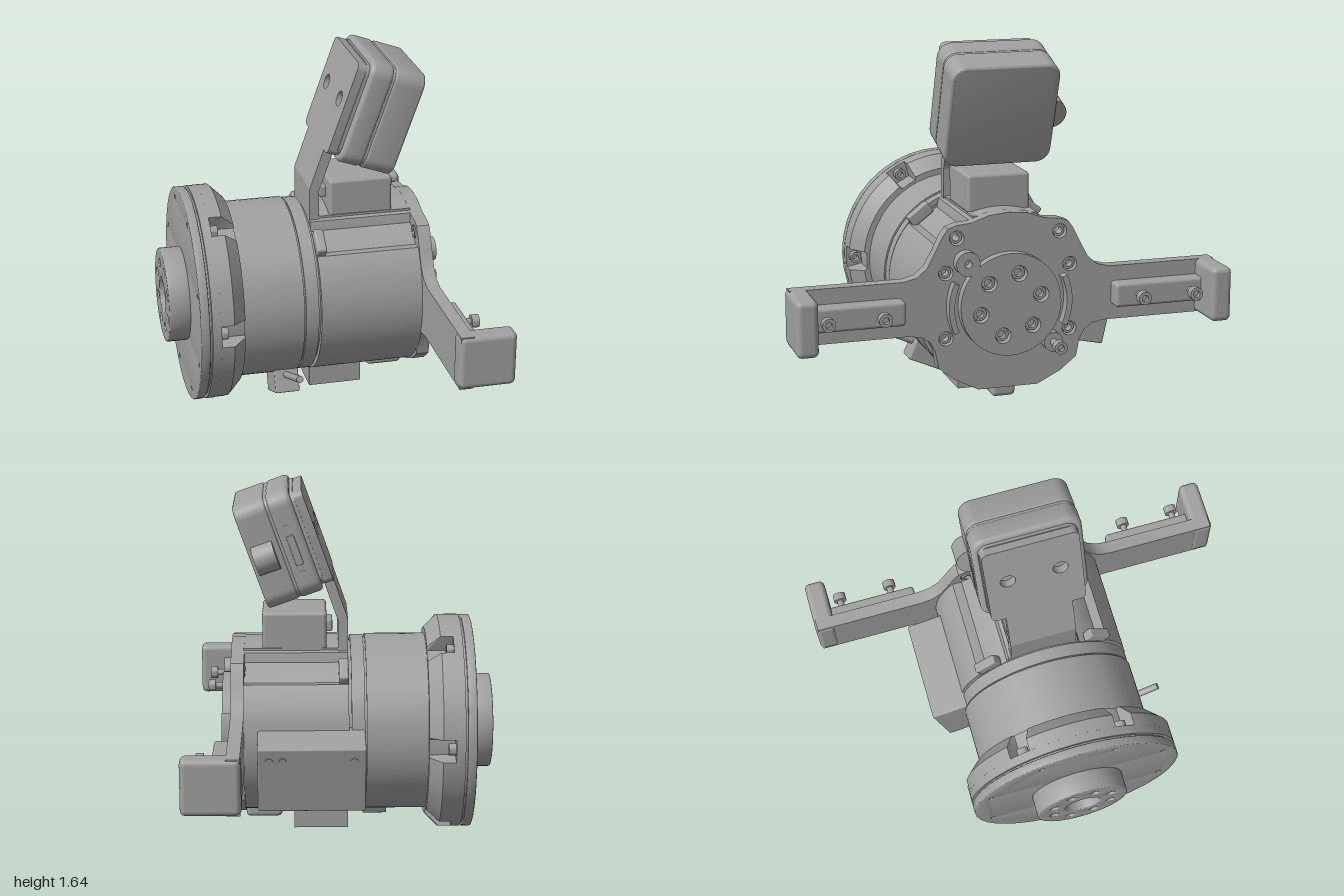
import * as THREE from 'three';
import { toCreasedNormals } from 'three/addons/utils/BufferGeometryUtils.js';
import { RoundedBoxGeometry } from 'three/addons/geometries/RoundedBoxGeometry.js';

const grey = new THREE.MeshStandardMaterial({ color: 0xa0a0a0 });
grey.name = 'machined grey';
const AXIS = 0.5; // height of the main axis, which runs along x

function add(parent, name, geo, x = 0, y = 0, z = 0) {
  const mesh = new THREE.Mesh(geo, grey);
  mesh.name = name;
  mesh.position.set(x, y, z);
  parent.add(mesh);
  return mesh;
}

// Turned part along x from [x, radius] pairs
function turned(points, segments = 72) {
  const geo = new THREE.LatheGeometry(points.map(([x, r]) => new THREE.Vector2(r, x)), segments);
  return toCreasedNormals(geo.rotateZ(-Math.PI / 2), 0.5);
}

function rod(x0, x1, r, segments = 20) {
  return turned([[x0, 0], [x0, r], [x1, r], [x1, 0]], segments);
}

// Shape drawn in (-z, y), extruded from x0 to x1
function plate(shape, x0, x1, bevel = 0, steps = 1) {
  const geo = new THREE.ExtrudeGeometry(shape, {
    depth: x1 - x0 - 2 * bevel, steps, curveSegments: 20, bevelEnabled: bevel > 0,
    bevelSize: bevel, bevelThickness: bevel, bevelOffset: -bevel, bevelSegments: 4,
  });
  geo.translate(0, 0, x0 + bevel).rotateY(Math.PI / 2);
  return toCreasedNormals(geo, 0.55);
}

function hole(shape, x, y, r) {
  shape.holes.push(new THREE.Path().absarc(x, y, r, 0, Math.PI * 2, true));
}

function disc(r) {
  return new THREE.Shape().absarc(0, 0, r, 0, Math.PI * 2);
}

function roundedRect(x0, y0, w, h, r) {
  const s = new THREE.Shape();
  s.absarc(x0 + w - r, y0 + r, r, -Math.PI / 2, 0);
  s.absarc(x0 + w - r, y0 + h - r, r, 0, Math.PI / 2);
  s.absarc(x0 + r, y0 + h - r, r, Math.PI / 2, Math.PI);
  s.absarc(x0 + r, y0 + r, r, Math.PI, Math.PI * 1.5);
  s.closePath();
  return s;
}

function polarShape(radius, n = 360) {
  const pts = [];
  for (let i = 0; i < n; i++) {
    const a = (i / n) * Math.PI * 2, r = radius(a * 180 / Math.PI);
    pts.push(new THREE.Vector2(Math.cos(a) * r, Math.sin(a) * r));
  }
  return new THREE.Shape(pts);
}

function capScrew(parent, x0, x1, y, z) {
  const socket = disc(0.03);
  hole(socket, 0, 0, 0.015);
  add(parent, 'screwHead', plate(socket, x1 - 0.035, x1), 0, y, z);
  add(parent, 'screwShank', rod(x0, x1 - 0.02, 0.016), 0, y, z);
}

function buildDrum(g) {
  // Rear hub with bore and bolt circle
  const hub = disc(0.22);
  hole(hub, 0, 0, 0.085);
  for (let i = 0; i < 8; i++) {
    const a = (i + 0.5) * Math.PI / 4;
    hole(hub, Math.cos(a) * 0.15, Math.sin(a) * 0.15, 0.02);
  }
  add(g, 'rearHub', plate(hub, -0.7, -0.6, 0.006), 0, AXIS);

  // Wide flange: a disc with small holes, then a chamfered rim with six notches
  const rear = disc(0.5);
  for (let i = 0; i < 8; i++) {
    const a = (i + 0.5) * Math.PI / 4;
    hole(rear, Math.cos(a) * 0.45, Math.sin(a) * 0.45, 0.011);
  }
  add(g, 'rearFlange', plate(rear, -0.602, -0.56, 0.005), 0, AXIS);
  add(g, 'flangeCore', turned([[-0.585, 0], [-0.585, 0.42], [-0.56, 0.42], [-0.56, 0.485],
    [-0.55, 0.485], [-0.55, 0.5], [-0.508, 0.5], [-0.508, 0]]), 0, AXIS);
  const notched = (deg) => (Math.abs(((deg + 30) % 60) - 30) <= 5.5 ? 0.425 : 0.5);
  const rim = new THREE.ExtrudeGeometry(polarShape(notched), { depth: 0.12, steps: 2, bevelEnabled: false });
  const p = rim.attributes.position;
  for (let i = 0; i < p.count; i++) {
    const r = Math.hypot(p.getX(i), p.getY(i));
    if (p.getZ(i) > 0.1 && r > 0.46) p.setXY(i, p.getX(i) * 0.44 / r, p.getY(i) * 0.44 / r);
  }
  rim.translate(0, 0, -0.51).rotateY(Math.PI / 2);
  add(g, 'notchedRim', toCreasedNormals(rim, 0.5), 0, AXIS);
  for (let i = 0; i < 6; i++) {
    const a = i * Math.PI / 3;
    const head = disc(0.027);
    hole(head, 0, 0, 0.014);
    add(g, 'rimScrew', plate(head, -0.51, -0.475), 0, AXIS + Math.sin(a) * 0.46, Math.cos(a) * 0.46);
  }

  // Collar and seam ring
  add(g, 'collar', turned([[-0.4, 0], [-0.4, 0.412], [-0.11, 0.412], [-0.11, 0.398], [-0.102, 0.398],
    [-0.102, 0.407], [-0.042, 0.407], [-0.042, 0.385], [-0.03, 0.385], [-0.03, 0]]), 0, AXIS);

  // Main body with a shallow channel on either side of the top
  const scalloped = (deg) => {
    const t = Math.abs(Math.abs(deg - 90) - 37);
    return t < 13 ? 0.41 - 0.035 * Math.min(1, (13 - t) / 4) : 0.41;
  };
  add(g, 'mainBody', plate(polarShape(scalloped, 180), -0.03, 0.45), 0, AXIS);
  for (const side of [-1, 1]) {
    add(g, 'channelLug', new RoundedBoxGeometry(0.045, 0.06, 0.12, 2, 0.01), -0.008, 0.81, side * 0.265)
      .rotation.x = side * 0.65;
  }
}

function buildFrontPlate(g) {
  // Plate outline with side arms, mirrored about the middle
  const half = [[0.14, 0.105], [0.25, 0.16], [0.325, 0.22], [0.34, 0.3], [0.365, 0.345], [0.4, 0.37], [0.46, 0.38],
    [0.99, 0.38], [0.99, 0.63], [0.48, 0.63], [0.42, 0.645], [0.375, 0.685], [0.34, 0.75], [0.305, 0.82],
    [0.28, 0.855], [0.24, 0.868], [0.17, 0.875], [0.09, 0.903], [0, 0.912]];
  const left = half.slice(0, -1).reverse().map(([x, y]) => [-x, y]);
  const outline = new THREE.Shape([...half, ...left].map(([x, y]) => new THREE.Vector2(x, y)));
  const bolts = [[0.24, 0.81], [0.29, 0.655], [0.29, 0.355]];
  for (const s of [-1, 1]) {
    for (const [x, y] of bolts) {
      hole(outline, s * x, y, 0.033);
      const insert = disc(0.027);
      hole(insert, 0, 0, 0.016);
      add(g, 'plateBolt', plate(insert, 0.44, 0.49), 0, y, s * x);
    }
  }
  add(g, 'armPlate', plate(outline, 0.445, 0.505));

  for (const s of [-1, 1]) {
    // Raised pad, upright end block and screws on each arm
    add(g, 'armPad', new RoundedBoxGeometry(0.09, 0.11, 0.44, 3, 0.015), 0.53, 0.505, s * 0.71);
    add(g, 'armEndBlock', new RoundedBoxGeometry(0.26, 0.25, 0.096, 4, 0.025), 0.57, 0.505, s * 0.952);
    for (const z of [0.6, 0.85]) capScrew(g, 0.5, 0.65, 0.505, s * z);
    // Curved guard beside the central disc
    const arc = new THREE.Shape();
    arc.absarc(0, 0, 0.288, -0.42, 0.42, false);
    arc.absarc(0, 0, 0.262, 0.42, -0.42, true);
    const guard = add(g, 'curvedGuard', plate(arc, 0.5, 0.55), 0, AXIS);
    guard.rotation.x = s > 0 ? 0 : Math.PI;
  }

  // Central output disc with six holes and two ears
  const face = disc(0.235);
  for (let i = 0; i < 6; i++) {
    const a = (15 + i * 60) * Math.PI / 180;
    hole(face, Math.cos(a) * 0.145, Math.sin(a) * 0.145, 0.036);
    const insert = disc(0.03);
    hole(insert, 0, 0, 0.018);
    add(g, 'discBolt', plate(insert, 0.5, 0.53), 0, AXIS + Math.sin(a) * 0.145, -Math.cos(a) * 0.145);
  }
  add(g, 'outputDisc', plate(face, 0.5, 0.55), 0, AXIS);
  const ear = disc(0.055);
  hole(ear, 0, 0, 0.017);
  add(g, 'upperEar', plate(ear, 0.5, 0.552), 0, 0.7, 0.2);
  add(g, 'lowerEar', rod(0.5, 0.552, 0.045), 0, 0.31, -0.2);
  capScrew(g, 0.54, 0.652, 0.31, -0.2);
}

function buildHousings(g) {
  // Sensor box on top, with a plug at its rear
  add(g, 'topBox', new RoundedBoxGeometry(0.295, 0.19, 0.29, 3, 0.015), 0.215, 0.962, 0);
  add(g, 'topBoxBase', new THREE.BoxGeometry(0.44, 0.04, 0.3), 0.23, 0.872, 0);
  add(g, 'topPlug', new RoundedBoxGeometry(0.05, 0.055, 0.12, 2, 0.008), 0.065, 0.975, 0);

  // Tilted side box with screw heads and a connector slot
  const side = new THREE.Group();
  side.name = 'sideBox';
  side.position.set(0.14, AXIS, 0);
  side.rotation.x = -0.22;
  g.add(side);
  add(side, 'sideHousing', new RoundedBoxGeometry(0.485, 0.32, 0.26, 2, 0.008), 0, 0, -0.418);
  for (const [x, y] of [[-0.19, 0.1], [0.13, 0.1], [0.19, 0.1]]) {
    const head = add(side, 'sideScrew', rod(0, 0.006, 0.017), x, y, -0.547);
    head.rotation.y = Math.PI / 2;
  }
  add(side, 'sideSlot', new THREE.BoxGeometry(0.17, 0.008, 0.06), 0, -0.162, -0.45);

  // Blocks underneath
  const block = new THREE.Shape([[-0.03, 0.02], [0.22, 0.02], [0.22, 0.14], [-0.03, 0.14]]
    .map(([x, y]) => new THREE.Vector2(x, y)));
  add(g, 'bottomBlock', new THREE.ExtrudeGeometry(block, { depth: 0.3, bevelEnabled: false }), 0, 0, -0.15);
  add(g, 'bottomFoot', new RoundedBoxGeometry(0.17, 0.1, 0.11, 3, 0.02), 0.363, 0.09, 0);

  // Cable connector, set off to one side below the collar
  const plug = new THREE.Group();
  plug.name = 'cableConnector';
  plug.position.set(-0.165, AXIS, 0);
  plug.rotation.x = -0.41;
  g.add(plug);
  add(plug, 'connectorBody', new RoundedBoxGeometry(0.115, 0.12, 0.2, 2, 0.006), 0, -0.447, 0);
  add(plug, 'cable', rod(-0.2, 0.2, 0.016), 0, -0.425, 0.215).rotation.y = Math.PI / 2;
}

function buildDisplay(g) {
  // Bent bracket rising from the body
  const strip = new THREE.Shape([[-0.03, 0.75], [0.015, 0.75], [0.015, 1.02], [0.085, 1.22], [0.043, 1.24], [-0.03, 1.03]]
    .map(([x, y]) => new THREE.Vector2(x, y)));
  add(g, 'bracketStrip', new THREE.ExtrudeGeometry(strip, { depth: 0.31, bevelEnabled: false }), 0, 0, -0.155);

  const unit = new THREE.Group();
  unit.name = 'tiltedDisplay';
  unit.position.set(0.035, 1.22, 0);
  unit.rotation.z = -0.34;
  g.add(unit);
  const back = roundedRect(-0.22, 0, 0.44, 0.44, 0.03);
  for (const s of [-1, 1]) hole(back, s * 0.12, 0.24, 0.035);
  add(unit, 'backPlate', plate(back, 0, 0.045));
  add(unit, 'spacer', plate(roundedRect(-0.225, 0, 0.45, 0.445, 0.05), 0.04, 0.075));
  const shell = () => roundedRect(-0.25, -0.024, 0.5, 0.494, 0.065);
  add(unit, 'rearShell', plate(shell(), 0.056, 0.168, 0.02));
  add(unit, 'seam', plate(roundedRect(-0.245, -0.019, 0.49, 0.484, 0.06), 0.14, 0.2));
  add(unit, 'frontShell', plate(shell(), 0.172, 0.32, 0.012));
  add(unit, 'sideKnob', rod(0.2, 0.3, 0.068, 36), 0, 0.21, -0.24);
  // Port and buttons on the side
  add(unit, 'port', new RoundedBoxGeometry(0.035, 0.14, 0.008, 2, 0.003), 0.115, 0.2, -0.25);
  for (const y of [0.09, 0.31]) add(unit, 'portScrew', rod(0, 0.005, 0.012), 0.115, y, -0.249).rotation.y = Math.PI / 2;
}

export function createModel() {
  const model = new THREE.Group();
  model.name = 'actuator';
  buildDrum(model);
  buildFrontPlate(model);
  buildHousings(model);
  buildDisplay(model);
  return model;
}
